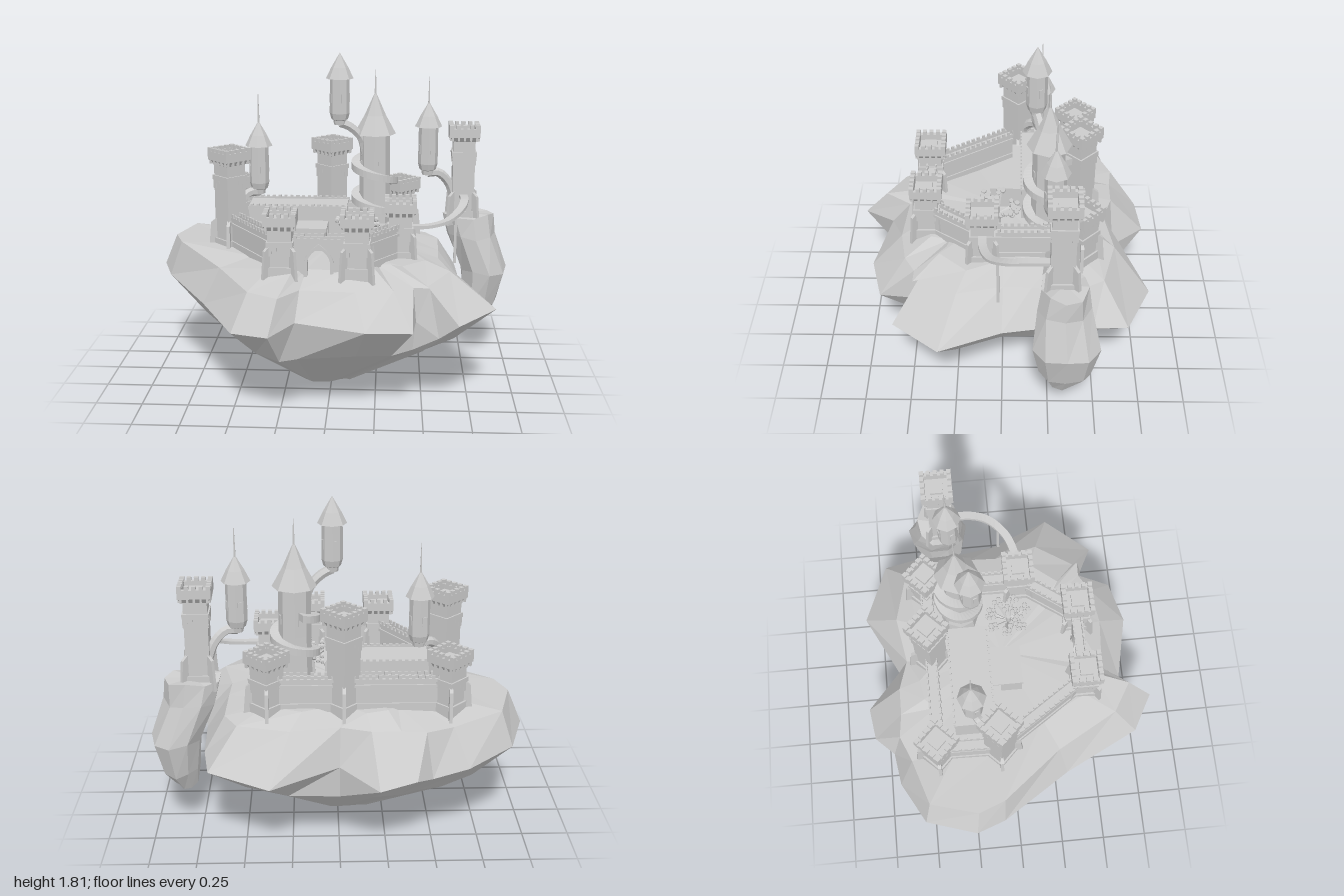
import * as THREE from 'three';
import { mergeGeometries } from 'three/addons/utils/BufferGeometryUtils.js';

const grey = new THREE.MeshStandardMaterial({ color: 0xcccccc, flatShading: true });
const V = (x, y, z) => new THREE.Vector3(x, y, z);

// Box centred on x and z, standing from y0 to y1
const box = (w, y0, y1, d, x = 0, z = 0) =>
  new THREE.BoxGeometry(w, y1 - y0, d).translate(x, (y0 + y1) / 2, z);

function part(name, geos) {
  const list = [].concat(geos).map(g => (g.index ? g.toNonIndexed() : g));
  const mesh = new THREE.Mesh(list.length > 1 ? mergeGeometries(list) : list[0], grey);
  mesh.name = name;
  return mesh;
}

// Skin a series of rings and close both ends
function loft(rings) {
  const pos = [], n = rings[0].length;
  const tri = (...p) => p.forEach(v => pos.push(v.x, v.y, v.z));
  const mid = r => r.reduce((s, v) => s.add(v), V(0, 0, 0)).divideScalar(n);
  const first = rings[0], last = rings[rings.length - 1], a = mid(first), b = mid(last);
  for (let j = 0; j < n; j++) {
    const k = (j + 1) % n;
    tri(a, first[k], first[j]);
    tri(b, last[j], last[k]);
    for (let i = 0; i + 1 < rings.length; i++) {
      tri(rings[i][j], rings[i][k], rings[i + 1][k]);
      tri(rings[i][j], rings[i + 1][k], rings[i + 1][j]);
    }
  }
  const g = new THREE.BufferGeometry();
  g.setAttribute('position', new THREE.Float32BufferAttribute(pos, 3));
  g.computeVertexNormals();
  return g;
}

// Rectangular band swept along a curve, always level across
function band(curve, n, w, h) {
  return loft(Array.from({ length: n + 1 }, (_, i) => {
    const p = curve.getPoint(i / n), t = curve.getTangent(i / n);
    const s = t.cross(V(0, 1, 0)).normalize().multiplyScalar(w / 2), u = V(0, h / 2, 0);
    return [p.clone().sub(s).add(u), p.clone().add(s).add(u), p.clone().add(s).sub(u), p.clone().sub(s).sub(u)];
  }));
}

// Island: rim outline as x, z, rim height, shoulder scale, underside scale
function island() {
  const rim = [
    [-1, -.25, .57, .92, .77], [-.91, -.53, .56, .93, .78], [-.67, -.66, .5, .87, .8], [-.48, -.69, .46, .92, .84],
    [-.39, -.79, .5, .78, .77], [-.2, -.82, .46, .75, .79], [0, -.63, .5, .9, .98], [.36, -.81, .47, .75, .78],
    [.68, -.67, .5, .8, .75], [.71, -.48, .52, .86, .78], [.72, -.18, .52, .84, .8], [.75, 0, .52, .8, .8],
    [.89, .33, .52, .74, .77], [.68, .58, .51, .78, .78], [.58, .52, .42, .92, .87], [.46, .49, .5, .97, .97],
    [.44, .67, .5, .8, .79], [.2, .73, .52, .78, .8], [-.16, .65, .54, .84, .93], [-.28, .82, .52, .84, .82],
    [-.48, .71, .5, .83, .76], [-.69, .29, .51, .86, .8], [-.94, -.09, .55, .92, .77]];
  const ring = f => rim.map((r, i) => {
    const [s, y] = f(r, i);
    return V(-.055 + (r[0] + .055) * s, y, -.02 + (r[1] + .02) * s);
  });
  return part('island', loft([
    ring((r, i) => [.6, .75 + .006 * Math.sin(i * 2)]),
    ring(r => [r[3], .7 + (r[0] < -.9 ? .05 : 0) - (r[1] > .4 ? .02 : 0)]),
    ring(r => [1, r[2]]),
    ring((r, i) => [r[4], .33 + .01 * Math.sin(i * 3)]),
    ring((r, i) => [.28 * r[4], .012 + .006 * Math.sin(i * 1.7)])]));
}

// Free-floating rock: levels as y, centre x, centre z, radius x, radius z
function floatingRock() {
  const levels = [[.88, .77, -.32, .15, .125], [.76, .79, -.32, .135, .145], [.55, .87, -.335, .14, .17],
    [.36, .855, -.33, .1, .14], [.255, .83, -.32, .06, .075]];
  return part('floatingRock', loft(levels.map(([y, cx, cz, rx, rz], l) =>
    Array.from({ length: 9 }, (_, j) => {
      const a = j / 9 * 2 * Math.PI, k = 1 + .05 * Math.sin(j * 5 + l * 2);
      return V(cx + rx * k * Math.cos(a), y + .012 * Math.sin(j * 2 + l), cz + rz * k * Math.sin(a));
    }))));
}

// Square tower with corbelled crown, battlements, hanging trim and corner buttresses
function tower(name, x, z, top, base, turned) {
  const b = .124, c = .172, geos = [box(b, base, top - .055, b)];
  const square = (s, y0, y1) => geos.push(box(s, y0, y1, s));
  geos.push(new THREE.CylinderGeometry(c * .707, b * .707, .03, 4, 1).rotateY(Math.PI / 4).translate(0, top - .08, 0));
  square(b + .016, top - .18, top - .155);
  square(b + .02, base, base + .08);
  square(.07, top - .07, top - .035);
  const fin = new THREE.Shape([[0, base], [.128, base], [.112, base + .17], [.08, base + .195], [0, base + .195]].map(p => new THREE.Vector2(...p)));
  for (let s = 0; s < 4; s++) {
    const side = [box(c, top - .068, top - .02, .024, 0, c / 2 - .012)];
    for (let i = 0; i < 5; i++) side.push(box(.022, top - .02, top, .024, (i - 2) * .0375, c / 2 - .012));
    for (let i = 0; i < 5; i++) {
      side.push(box(.012, top - .09, top - .066, .02, (i - 2) * .034, c / 2 - .012));
      const drop = [.06, .032, .014, .032, .06][i];
      side.push(box(.026, top - .17 - drop, top - .165, .012, (i - 2) * .026, b / 2));
    }
    side.push(new THREE.ExtrudeGeometry(fin, { depth: .018, bevelEnabled: false }).translate(0, 0, -.009).rotateY(Math.PI / 4));
    side.forEach(g => geos.push(g.rotateY(s * Math.PI / 2)));
  }
  const mesh = part(name, geos);
  mesh.position.set(x, 0, z);
  if (turned) mesh.rotation.y = Math.PI / 4;
  return mesh;
}

// Two rows of battlements along local x, h high in all
function merlons(len, y, d, h) {
  const geos = [], n = Math.round(len / .035);
  for (const s of [-1, 1]) {
    geos.push(box(len, y, y + h / 2, .01, 0, s * d / 2));
    for (let i = 0; i < n; i++) geos.push(box(.018, y + h / 2, y + h, .01, ((i + .5) / n - .5) * len, s * d / 2));
  }
  return geos;
}

function wall([x1, z1], [x2, z2]) {
  const len = Math.hypot(x2 - x1, z2 - z1);
  const mesh = part('curtainWall', [box(len, .68, .9, .05), box(len, .68, .78, .064), box(len, .87, .885, .064), ...merlons(len, .9, .055, .036)]);
  mesh.position.set((x1 + x2) / 2, 0, (z1 + z2) / 2);
  mesh.rotation.y = -Math.atan2(z2 - z1, x2 - x1);
  return mesh;
}

// Gate wall pierced by a pointed arch
function gate() {
  const arch = (r, y0) => {
    const p = new THREE.Path();
    p.moveTo(-r, y0);
    p.lineTo(r, y0);
    p.lineTo(r, .79);
    p.quadraticCurveTo(r, .84, 0, .8 + r * 1.25);
    p.quadraticCurveTo(-r, .84, -r, .79);
    p.lineTo(-r, y0);
    return p;
  };
  const shape = new THREE.Shape([[-.14, .7], [.14, .7], [.14, .91], [-.14, .91]].map(p => new THREE.Vector2(...p)));
  shape.holes.push(arch(.06, .71));
  const trim = new THREE.Shape(arch(.078, .71).getPoints(6));
  trim.holes.push(arch(.06, .715));
  const extrude = (s, depth) => new THREE.ExtrudeGeometry(s, { depth, bevelEnabled: false, curveSegments: 6 }).translate(0, 0, -depth / 2);
  const mesh = part('gate', [extrude(shape, .045), extrude(trim, .07), ...merlons(.28, .91, .05, .03)]);
  mesh.position.set(-.05, 0, .41);
  return mesh;
}

// Eight-sided tower or turret: profile as radius, height; optional finial
function spire(name, x, z, profile, tip) {
  const geos = [new THREE.LatheGeometry(profile.map(p => new THREE.Vector2(...p)), 8)];
  const peak = profile[profile.length - 1][1];
  if (tip) geos.push(new THREE.CylinderGeometry(.002, .007, tip - peak + .03, 6).translate(0, (tip + peak - .03) / 2, 0));
  const body = profile[profile.length - 5];
  for (let i = 0; i < 8; i += 2)
    geos.push(box(.02, body[1] + .06, body[1] + .11, .008, 0, body[0] * .93).rotateY((i + .5) * Math.PI / 4));
  const mesh = part(name, geos);
  mesh.position.set(x, 0, z);
  return mesh;
}
const turret = (name, x, z, y, body, peak, tip) => spire(name, x, z,
  [[0, y], [.032, y], [.036, y + .025], [.046, y + .03], [.056, y + .065], [.055, body], [.077, body - .012], [.047, body + .05], [0, peak]], tip);

// Bare tree with tufted branches
function tree() {
  const geos = [new THREE.CylinderGeometry(.012, .024, .18, 6).translate(0, .8, 0)];
  for (let i = 0; i < 12; i++) {
    const a = i * 2.4, r = i % 3 ? .1 : .055, up = .02 + .05 * ((i * 5) % 7) / 6;
    const end = V(r * Math.cos(a), .85 + up, r * Math.sin(a));
    geos.push(new THREE.TubeGeometry(new THREE.LineCurve3(V(0, .83, 0), end), 1, .007, 4));
    for (let j = 0; j < 4; j++) {
      const q = j * 1.6 + i;
      geos.push(new THREE.IcosahedronGeometry(.016).translate(end.x + .018 * Math.cos(q), end.y + .012 * Math.sin(j * 2), end.z + .018 * Math.sin(q)));
    }
  }
  const mesh = part('tree', geos);
  mesh.position.set(.14, 0, .03);
  return mesh;
}

export function createModel() {
  const model = new THREE.Group();
  model.name = 'floatingCastle';
  model.add(island(), floatingRock());

  // Towers and the walls between them
  const backLeft = [.375, -.42], back = [-.025, -.42], backRight = [-.577, -.42], right = [-.583, -.083];
  const gateRight = [-.25, .415], gateLeft = [.15, .415], left = [.375, .105];
  model.add(
    tower('backLeftTower', ...backLeft, 1.07, .7, true), tower('backTower', ...back, 1.3, .7, true),
    tower('backRightTower', ...backRight, 1.07, .7, true), tower('rightTower', ...right, 1.3, .7, true),
    tower('rightGateTower', ...gateRight, 1.07, .7), tower('leftGateTower', ...gateLeft, 1.07, .7),
    tower('leftTower', ...left, 1.07, .7), tower('rockTower', .735, -.305, 1.41, .83));
  const run = [gateLeft, left, backLeft, back, backRight, right, gateRight];
  for (let i = 0; i + 1 < run.length; i++) model.add(wall(run[i], run[i + 1]));
  model.add(gate());

  // Great hall with its lower wings
  const hall = part('greatHall', [box(.55, .7, .95, .22), box(.56, .94, .955, .23), ...merlons(.55, .955, .22, .02)]);
  hall.position.set(-.205, 0, -.21);
  model.add(hall, part('hallWings', [box(.45, .7, .87, .06, -.255, -.08), box(.21, .7, .87, .17, -.14, -.015), box(.22, .86, .88, .18, -.14, -.015)]));

  // Main spire with a ramp winding round it
  model.add(spire('mainSpire', .228, -.24, [[.11, .7], [.1, .82], [.09, .85], [.087, 1.1], [.085, 1.375], [.118, 1.36], [.06, 1.465], [0, 1.6]], 1.72));
  const helix = [];
  for (let i = 0; i <= 30; i++) {
    const a = i / 30 * Math.PI * 3.4;
    helix.push(V(.228 + .108 * Math.cos(a), .9 + .32 * i / 30, -.24 + .108 * Math.sin(a)));
  }
  model.add(part('spiralRamp', band(new THREE.CatmullRomCurve3(helix), 60, .05, .04)));

  // Hanging turrets and the curved arms that carry them
  model.add(turret('highTurret', .03, -.175, 1.42, 1.69, 1.82),
    turret('leftTurret', .53, -.265, 1.12, 1.41, 1.54, 1.68),
    turret('rightTurret', -.432, -.215, 1.01, 1.3, 1.43, 1.58));
  const arms = [[V(.03, 1.43, -.175), V(.08, 1.41, -.19), V(.15, 1.34, -.21), V(.18, 1.2, -.23)],
    [V(.53, 1.13, -.265), V(.59, 1.13, -.28), V(.65, 1.07, -.3), V(.69, .96, -.31)],
    [V(-.432, 1.02, -.215), V(-.49, 1.02, -.18), V(-.54, .97, -.13), V(-.57, .87, -.1)]];
  for (const a of arms) model.add(part('turretArm', new THREE.TubeGeometry(new THREE.CatmullRomCurve3(a), 10, .026, 6)));

  // Footbridge curving from the left tower to the rock tower
  const span = new THREE.CatmullRomCurve3([V(.4, .91, .105), V(.52, .91, .1), V(.63, .93, .06), V(.71, .975, -.03), V(.735, 1, -.13), V(.735, 1, -.28)]);
  model.add(part('footbridge', band(span, 20, .045, .018)));
  model.add(part('bridgePost', box(.015, .68, .95, .015, .68, .02)));

  model.add(tree());
  return model;
}
